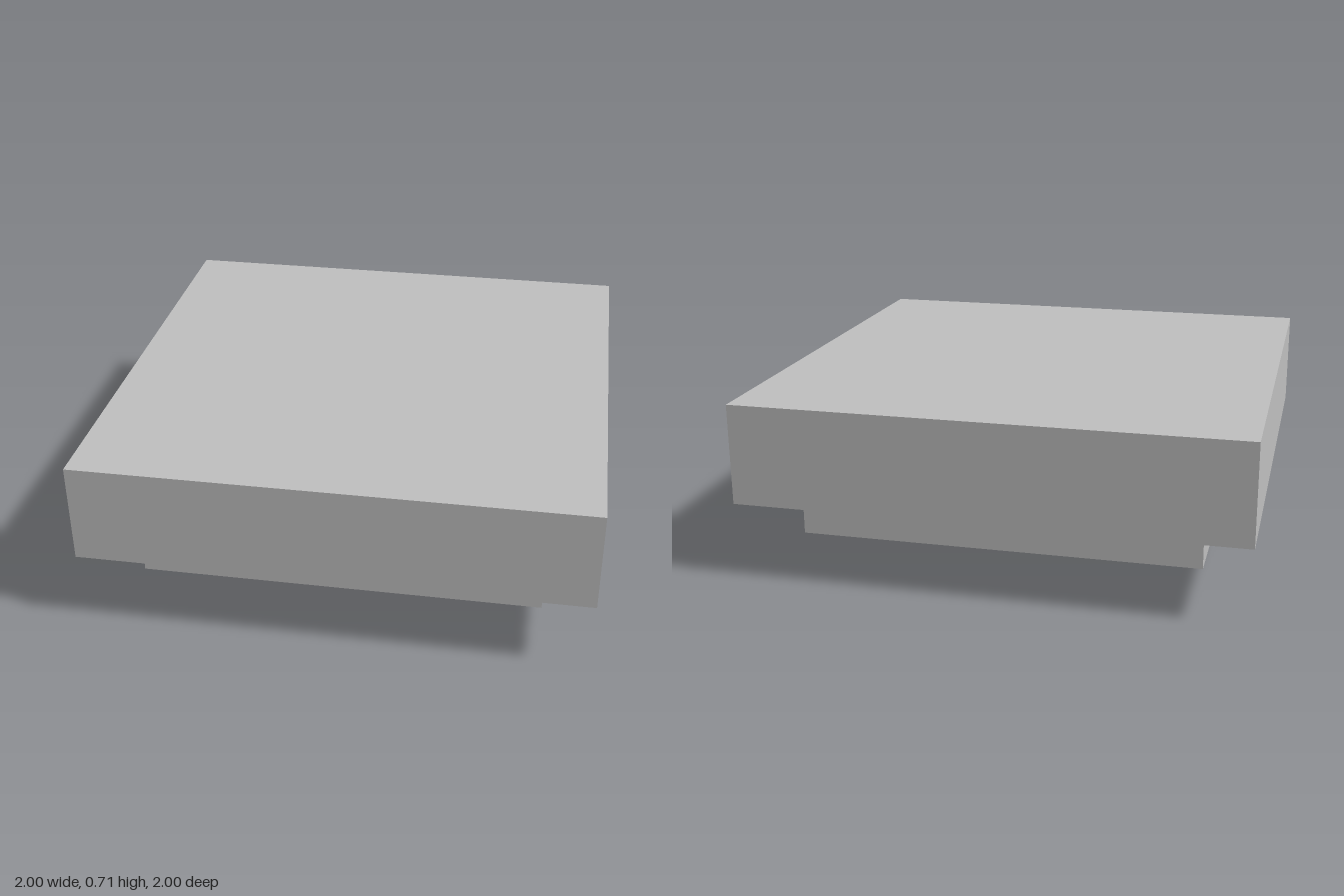
import * as THREE from 'three';

export function createModel() {
  const model = new THREE.Group();
  model.name = 'spikedCeilingTrap';
  const stone = new THREE.MeshStandardMaterial({ color: 0xc0c0c0 });
  stone.name = 'grey stone';

  function slab(name, width, bottom, top) {
    const mesh = new THREE.Mesh(new THREE.BoxGeometry(width, top - bottom, width), stone);
    mesh.position.y = (bottom + top) / 2;
    mesh.name = name;
    model.add(mesh);
  }

  // Ceiling block and the smaller plate floating under it
  const plateBottom = 0.13;
  slab('ceilingBlock', 2, 0.31, 0.71);
  slab('spikePlate', 1.6, plateBottom, 0.275);

  // Hanging spike of unit length: flared collar tapering to a small tip
  const profile = [[0, -1], [0.005, -0.98], [0.013, -0.55], [0.024, -0.14], [0.036, -0.09], [0.04, 0]]
    .map(([r, y]) => new THREE.Vector2(r, y));
  const spikeGeometry = new THREE.LatheGeometry(profile, 10);

  // One patch of spikes: x, z, length, width scale
  const patch = [
    [-0.21, -0.17, 0.08, 1], [-0.18, 0.06, 0.075, 0.9], [-0.11, 0.19, 0.09, 0.85],
    [-0.12, -0.06, 0.085, 0.95], [-0.06, -0.18, 0.07, 0.8], [-0.05, 0.07, 0.06, 0.75],
    [0.03, -0.05, 0.12, 1], [0.06, 0.16, 0.08, 0.85], [0.13, -0.12, 0.08, 0.9],
    [0.14, 0.03, 0.095, 0.85], [0.21, 0.11, 0.13, 1], [0.2, -0.19, 0.06, 0.8],
  ];

  // The patch repeats three by three
  const spikes = new THREE.Group();
  spikes.name = 'spikes';
  for (const px of [-0.4, 0, 0.4]) {
    for (const pz of [-0.4, 0, 0.4]) {
      for (const [x, z, length, width] of patch) {
        const spike = new THREE.Mesh(spikeGeometry, stone);
        spike.name = 'spike';
        spike.position.set(px + x, plateBottom, pz + z);
        spike.scale.set(width, length, width);
        spikes.add(spike);
      }
    }
  }
  model.add(spikes);
  return model;
}
